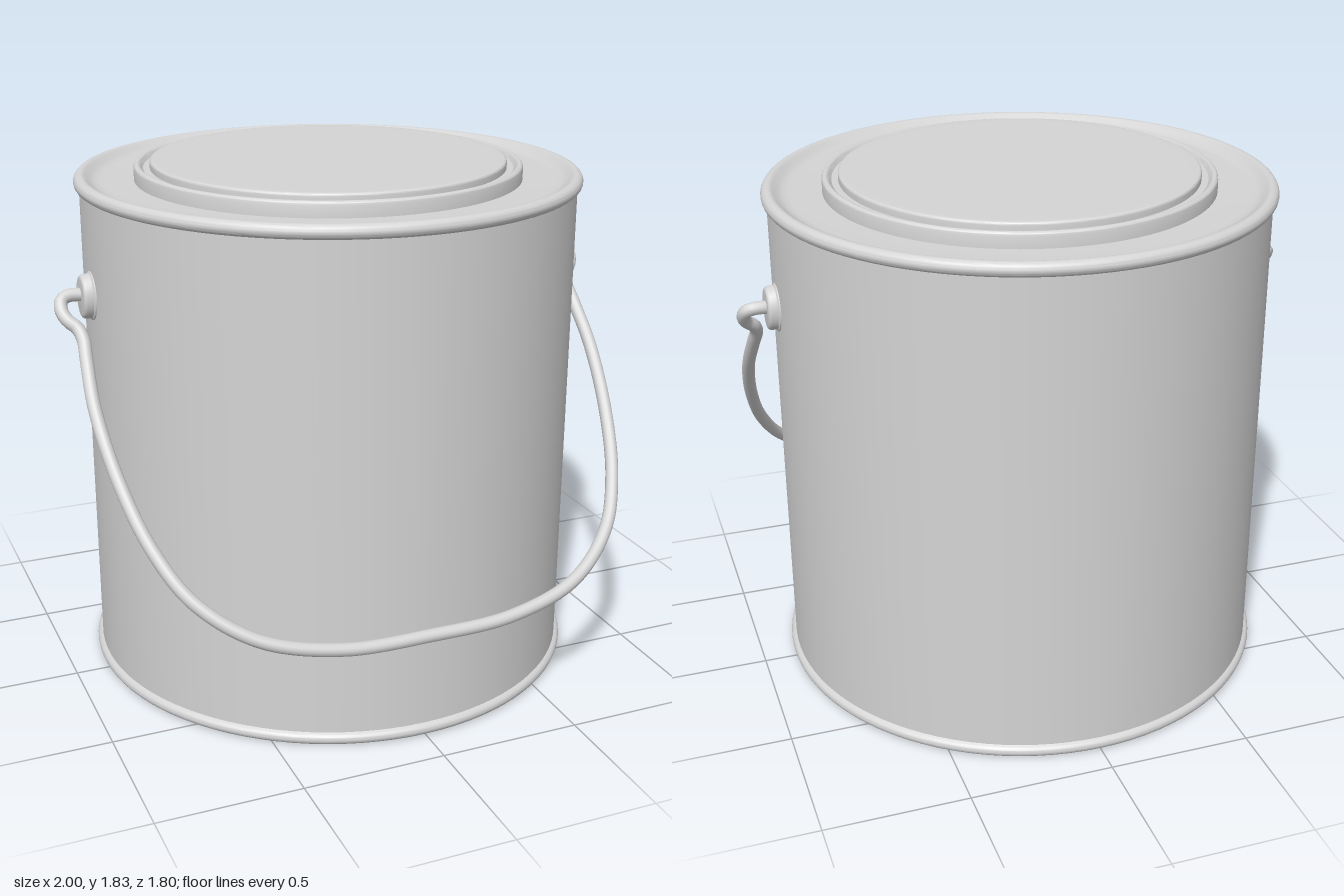
import * as THREE from 'three';
import { toCreasedNormals } from 'three/addons/utils/BufferGeometryUtils.js';

const CENTER_Z = -0.017;
const PIVOT_Y = 1.415;

// Lathe with smooth curves and sharp corners
function turned(points, segments) {
  const lathe = new THREE.LatheGeometry(points.map(([r, y]) => new THREE.Vector2(r, y)), segments);
  return toCreasedNormals(lathe, 0.38);
}

// Profile points of a rounded bead, between two angles in degrees
function arc(r, y, radius, from, to, steps = 14) {
  return Array.from({ length: steps + 1 }, (_, i) => {
    const a = THREE.MathUtils.degToRad(from + (to - from) * i / steps);
    return [r + radius * Math.cos(a), y + radius * Math.sin(a)];
  });
}

export function createModel() {
  const model = new THREE.Group();
  model.name = 'paintCan';
  const metal = new THREE.MeshStandardMaterial({ color: 0xd4d4d4 });
  metal.name = 'grey metal';

  const add = (name, geometry) => {
    const mesh = new THREE.Mesh(geometry, metal);
    mesh.name = name;
    model.add(mesh);
    return mesh;
  };

  // Can body: dished base, bottom bead, wall, top bead and sunken top
  add('body', turned([
    [0, 0.12], [0.64, 0.12], [0.67, 0.115], [0.69, 0.103], [0.75, 0.057],
    [0.79, 0.028], [0.83, 0.007], [0.865, 0],
    ...arc(0.865, 0.021, 0.021, -80, 75),
    [0.868, 0.043], [0.868, 1.742],
    ...arc(0.861, 1.766, 0.025, -75, 125),
    [0.832, 1.774], [0.812, 1.765], [0.79, 1.763], [0.66, 1.763],
  ], 96)).position.z = CENTER_Z;

  // Raised ring around the opening, with a shallow groove inside it
  add('openingRing', turned([
    [0.678, 1.755], ...arc(0.665, 1.804, 0.013, 0, 150), [0.645, 1.801], [0.61, 1.801],
  ], 96)).position.z = CENTER_Z;

  // Pressed-in lid
  add('lid', turned([
    [0.622, 1.795], ...arc(0.612, 1.82, 0.01, 0, 90, 6), [0.58, 1.83], [0, 1.83],
  ], 96)).position.z = CENTER_Z;

  // Oval ears that hold the handle
  for (const side of [1, -1]) {
    const ear = add(side > 0 ? 'leftEar' : 'rightEar', turned([
      [0.086, -0.015], [0.085, 0.004], [0.078, 0.008], [0.077, 0.024],
      ...arc(0.063, 0.026, 0.014, 0, 90, 6), [0, 0.04],
    ], 32));
    ear.rotation.z = -side * Math.PI / 2;
    ear.scale.z = 0.8;
    ear.position.set(side * 0.866, PIVOT_Y, CENTER_Z);
  }

  // Wire handle, lying in one plane tilted forward about the pivots
  const half = [
    [0.88, 1.42], [0.945, 1.422], [0.973, 1.41], [0.979, 1.38], [0.965, 1.352],
    [0.938, 1.328], [0.927, 1.295], [0.932, 1.24], [0.94, 1.1], [0.913, 0.9],
    [0.855, 0.72], [0.76, 0.575], [0.58, 0.457], [0.315, 0.397],
  ];
  const path = [...half, [0, 0.388], ...half.map(([x, y]) => [-x, y]).reverse()];
  const curve = new THREE.CatmullRomCurve3(path.map(([x, y]) =>
    new THREE.Vector3(x, y, CENTER_Z + (PIVOT_Y - y) * 0.87)));
  add('handle', new THREE.TubeGeometry(curve, 240, 0.023, 14));

  return model;
}
